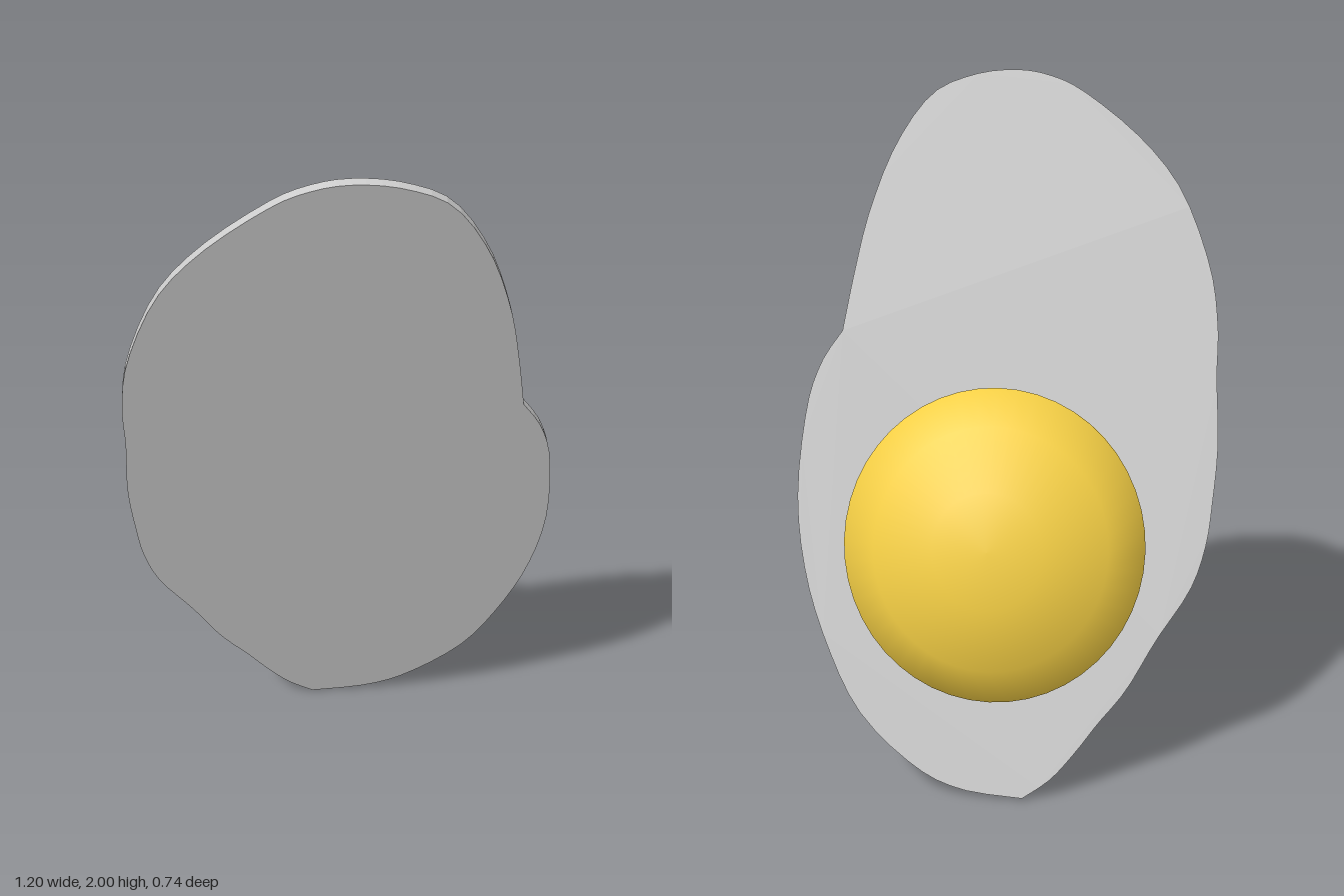
import * as THREE from 'three';

const TILT = Math.atan2(0.63, 2);
const THICK = 0.026;

export function createModel() {
  const model = new THREE.Group();
  model.name = 'friedEgg';
  const whiteMat = new THREE.MeshStandardMaterial({ color: 0xcccccc });
  const yolkMat = new THREE.MeshStandardMaterial({ color: 0xf6d045 });

  // Upright heights are stretched onto the leaning plane
  const toPlane = ([x, y]) => new THREE.Vector2(x, (0.004 + y * 0.996) / Math.cos(TILT));

  // Outline in two smooth runs that meet in a notch and at the bottom tip
  const leftLobe = [[0.48, 1.28], [0.54, 1.19], [0.58, 1.06], [0.6, 0.82], [0.57, 0.6], [0.5, 0.4],
    [0.4, 0.22], [0.24, 0.08], [0.1, 0.02], [-0.08, 0.003]].map(toPlane);
  const mainLobe = [[-0.16, 0.06], [-0.23, 0.14], [-0.29, 0.22], [-0.37, 0.32], [-0.45, 0.46],
    [-0.54, 0.6], [-0.58, 0.72], [-0.595, 0.84], [-0.605, 1.0], [-0.595, 1.18], [-0.593, 1.32],
    [-0.565, 1.48], [-0.48, 1.68], [-0.36, 1.82], [-0.2, 1.94], [-0.1, 1.985], [0, 2], [0.12, 1.985],
    [0.24, 1.93], [0.34, 1.79], [0.41, 1.61], [0.45, 1.44], [0.48, 1.28]].map(toPlane);
  const outline = new THREE.Shape();
  outline.moveTo(leftLobe[0].x, leftLobe[0].y);
  outline.splineThru(leftLobe.slice(1));
  outline.splineThru(mainLobe);

  // Thin flat egg white
  const whiteGeo = new THREE.ExtrudeGeometry(outline, { depth: THICK, bevelEnabled: false, curveSegments: 3 });
  whiteGeo.translate(0, 0, -THICK / 2);
  const white = new THREE.Mesh(whiteGeo, whiteMat);
  white.name = 'eggWhite';

  // Domed yolk on the back: short wall, sloped shoulder, flattened crown
  const profile = [[0, -0.007], [0.44, -0.007], [0.444, 0.085], [0.34, 0.18], [0.16, 0.262], [0, 0.265]]
    .map(([r, h]) => new THREE.Vector2(r, h));
  const yolk = new THREE.Mesh(new THREE.LatheGeometry(profile, 48), yolkMat);
  yolk.name = 'yolk';
  yolk.rotation.x = -Math.PI / 2;
  yolk.scale.x = 0.96;
  yolk.position.set(0.015, 0.747, -0.022);

  // Lean the whole egg forward
  const egg = new THREE.Group();
  egg.name = 'leaningEgg';
  egg.add(white, yolk);
  egg.rotation.x = TILT;
  egg.position.z = -0.27;
  model.add(egg);
  return model;
}
